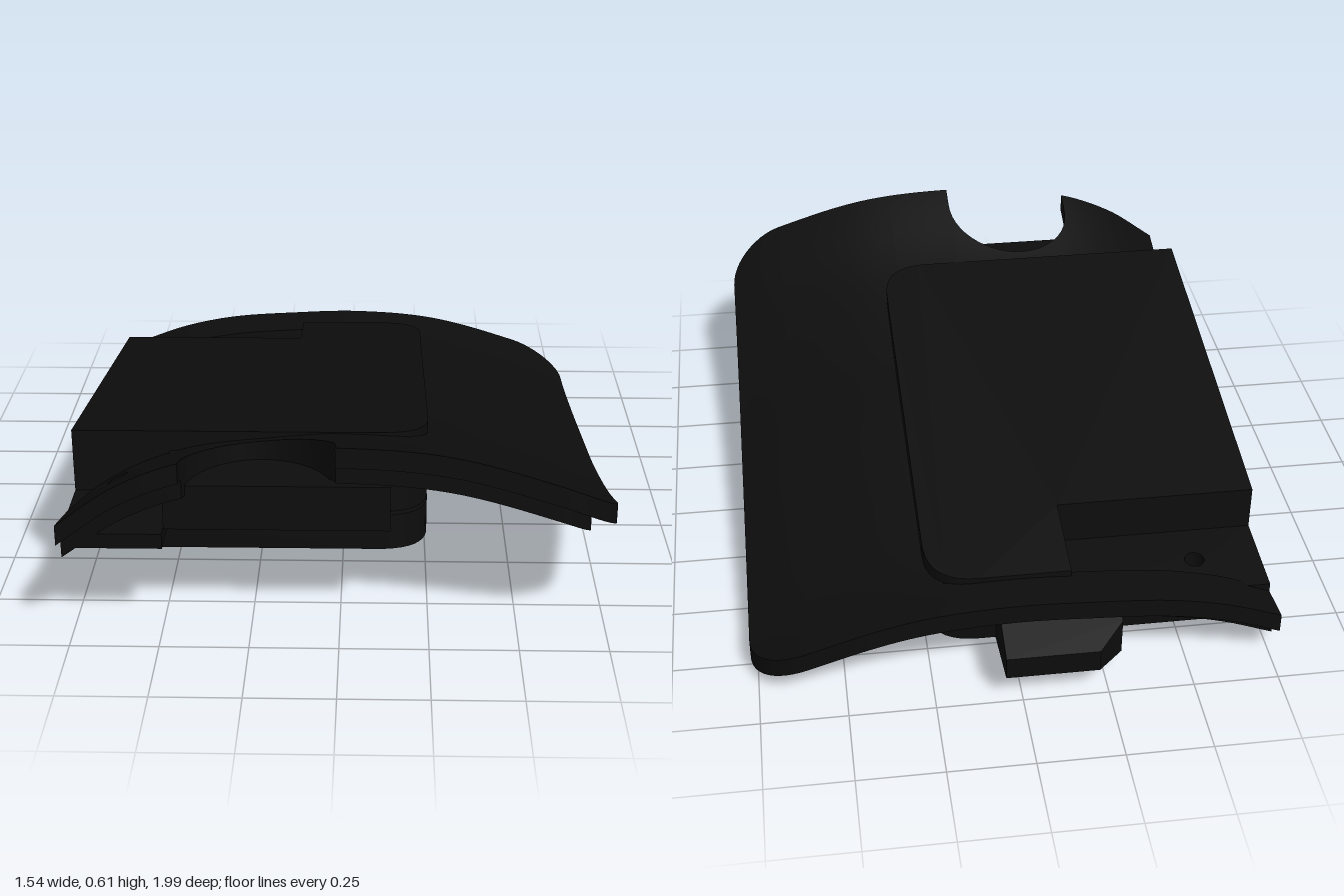
import * as THREE from 'three';
import { mergeGeometries, toCreasedNormals } from 'three/addons/utils/BufferGeometryUtils.js';
import { ParametricGeometry } from 'three/addons/geometries/ParametricGeometry.js';

const black = new THREE.MeshStandardMaterial({ color: 0x0d0d0d });
black.name = 'black plastic';

// Smooth interpolation through [position, value] points
function curve(points) {
  return (t) => {
    let i = 0;
    while (i < points.length - 2 && t > points[i + 1][0]) i++;
    const p = points.map((q) => q[1]);
    const slope = (k) => {
      const a = Math.max(k - 1, 0), b = Math.min(k + 1, points.length - 1);
      return (p[b] - p[a]) / (points[b][0] - points[a][0]);
    };
    const h = points[i + 1][0] - points[i][0], s = (t - points[i][0]) / h;
    return p[i] * (1 + 2 * s) * (1 - s) ** 2 + slope(i) * h * s * (1 - s) ** 2
      + p[i + 1] * s * s * (3 - 2 * s) + slope(i + 1) * h * s * s * (s - 1);
  };
}

// Arched crown across x, falling toward the back along z
const crown = curve([[-0.77, 0.36], [-0.61, 0.475], [-0.43, 0.55], [-0.2, 0.585], [0, 0.6], [0.3, 0.575], [0.6, 0.49], [0.77, 0.42]]);
const fall = curve([[-0.91, -0.335], [-0.72, -0.345], [-0.4, -0.31], [0, -0.25], [0.3, -0.2], [0.65, -0.115], [0.99, 0]]);
function shellTop(x, z) {
  const back = (0.99 - z) / 1.9;
  const drop = (0.6 - crown(x)) * (x < 0 ? 1 - 0.5 * back : 1);
  return 0.6 - drop + fall(z);
}

// Closed solid between two z edges and two heights, over columns given by X(u)
function solid(X, zBack, zFront, yTop, yBottom, nx, nz) {
  const P = (u, v, w, out) => {
    const x = X(u);
    const z = THREE.MathUtils.lerp(zBack(x), zFront(x), v);
    out.set(x, THREE.MathUtils.lerp(yBottom(x, z), yTop(x, z), w), z);
  };
  const sheet = (f, a, b) => new ParametricGeometry(f, a, b);
  const geo = mergeGeometries([
    sheet((a, b, o) => P(b, a, 1, o), nz, nx),
    sheet((a, b, o) => P(a, b, 0, o), nx, nz),
    sheet((a, b, o) => P(1, b, a, o), 1, nz),
    sheet((a, b, o) => P(0, a, b, o), nz, 1),
    sheet((a, b, o) => P(a, 1, b, o), nx, 1),
    sheet((a, b, o) => P(b, 0, a, o), 1, nx),
  ]);
  geo.computeVertexNormals();
  return geo;
}

// Path through [x, z, radius] corners
function outline(path, corners) {
  const n = corners.length;
  corners.forEach(([x, z, r = 0], i) => {
    const at = new THREE.Vector2(x, -z);
    const toward = (c) => new THREE.Vector2(c[0], -c[1]).sub(at).setLength(r).add(at);
    const a = toward(corners[(i + n - 1) % n]), b = toward(corners[(i + 1) % n]);
    if (i === 0) path.moveTo(a.x, a.y); else path.lineTo(a.x, a.y);
    if (r) path.quadraticCurveTo(at.x, at.y, b.x, b.y);
  });
  path.closePath();
  return path;
}
const roundHole = (x, z, r) => new THREE.Path().absarc(x, -z, r, 0, Math.PI * 2);

// Upright slab with sloping top and bottom planes
function slab(corners, yTop, yBottom, holes = []) {
  const shape = outline(new THREE.Shape(), corners);
  shape.holes.push(...holes);
  const geo = new THREE.ExtrudeGeometry(shape, { depth: 1, bevelEnabled: false, curveSegments: 10 });
  geo.rotateX(-Math.PI / 2);
  const p = geo.attributes.position;
  for (let i = 0; i < p.count; i++) {
    const z = p.getZ(i);
    p.setY(i, THREE.MathUtils.lerp(yBottom(z), yTop(z), p.getY(i)));
  }
  return toCreasedNormals(geo, 0.5);
}

export function createModel() {
  const model = new THREE.Group();
  const add = (name, geo) => {
    const mesh = new THREE.Mesh(geo, black);
    mesh.name = name;
    model.add(mesh);
  };
  const flat = (v) => () => v;
  const line = (a, b) => (u) => a + (b - a) * u;
  const arc = (c, r) => (u) => c - r * Math.cos(Math.PI * u);
  const rise = (x, c, r) => Math.sqrt(Math.max(0, r * r - (x - c) ** 2));

  // Curved outer shell, then a thicker inset layer beneath it
  const layers = [['shell', 0, 0, 0.06], ['innerRim', 0.07, 0.055, 0.115]];
  for (const [name, inset, from, to] of layers) {
    const top = (x, z) => shellTop(x, z) - from;
    const bottom = (x, z) => shellTop(x, z) - to;
    const front = flat(0.99 - inset), back = flat(-0.91 + inset), inner = flat(0.64);
    const r = 0.17 - inset;
    const holeBack = (x) => 0.75 - rise(x, -0.63, 0.03), holeFront = (x) => 0.75 + rise(x, -0.63, 0.03);
    const spans = [
      [line(-0.77, -0.66), inner, front, 4, 10],
      [arc(-0.63, 0.03), inner, holeBack, 10, 4],
      [arc(-0.63, 0.03), holeFront, front, 10, 6],
      [line(-0.6, -0.43), inner, front, 6, 10],
      [arc(-0.22, 0.21), inner, (x) => Math.min(0.92 - rise(x, -0.22, 0.21), 0.99 - inset), 24, 6],
      [line(-0.01, 0.2), inner, front, 6, 10],
      [line(-0.77, 0.2), back, flat(-0.76), 24, 4],
      [line(0.2, 0.6), back, front, 12, 40],
      [(u) => 0.6 + r * Math.sin(u * Math.PI / 2),
        (x) => -0.74 - rise(x, 0.6, r), (x) => 0.82 + rise(x, 0.6, r), 12, 40],
    ];
    add(name, mergeGeometries(spans.map(([X, zb, zf, nx, nz]) => solid(X, zb, zf, top, bottom, nx, nz))));
  }

  // Sloping planes of the hollow box
  const boxTop = (z) => 0.49 - 0.154 * (0.65 - z);
  const boxBottom = (z) => 0.13 - 0.0616 * (0.68 - z);
  const floor = (z) => boxBottom(z) + 0.11;
  const cap = (z) => boxTop(z) - 0.07;

  // Lower walls around the open pocket
  add('boxLowerWalls', slab(
    [[-0.77, 0.68], [0.25, 0.68, 0.15], [0.25, -0.78, 0.15], [-0.77, -0.78]], floor, boxBottom,
    [outline(new THREE.Path(), [[-0.72, 0.62], [0.19, 0.62, 0.1], [0.19, -0.73, 0.1], [-0.72, -0.73]])]));

  // Upper walls and lid, leaving out the recessed back corner
  const lidCorners = [[-0.77, 0.655], [0.25, 0.655, 0.15], [0.25, -0.78, 0.15], [-0.17, -0.78], [-0.17, -0.52], [-0.77, -0.52]];
  add('boxUpperWalls', slab(lidCorners, cap, floor,
    [outline(new THREE.Path(), [[-0.72, 0.6], [0.19, 0.6, 0.1], [0.19, -0.73, 0.1], [-0.12, -0.73], [-0.12, -0.47], [-0.72, -0.47]])]));
  add('boxLid', slab(lidCorners, boxTop, cap));

  // Recess floor with its screw hole
  add('recessFloor', slab([[-0.77, -0.5], [-0.15, -0.5], [-0.15, -0.78], [-0.77, -0.78]],
    (z) => floor(z) + 0.005, (z) => floor(z) - 0.05, [roundHole(-0.57, -0.65, 0.03)]));

  // Front mounting block with its screw hole, and the ledge under the notch
  add('frontMount', slab([[-0.77, 0.92], [-0.49, 0.92], [-0.49, 0.64], [-0.77, 0.64]],
    flat(0.3), flat(0.255), [roundHole(-0.63, 0.75, 0.03)]));
  add('notchLedge', slab([[-0.49, 0.88], [0.14, 0.88], [0.14, 0.64], [-0.49, 0.64]], flat(0.43), flat(0.295)));

  // Locking tab at the back
  add('backTab', slab([[-0.3, -0.91], [-0.22, -1], [0.05, -1], [0.05, -0.76], [-0.3, -0.76]],
    (z) => 0.15 + (z + 1) * 0.3, (z) => 0.08 + (z + 1) * -0.2));

  return model;
}
